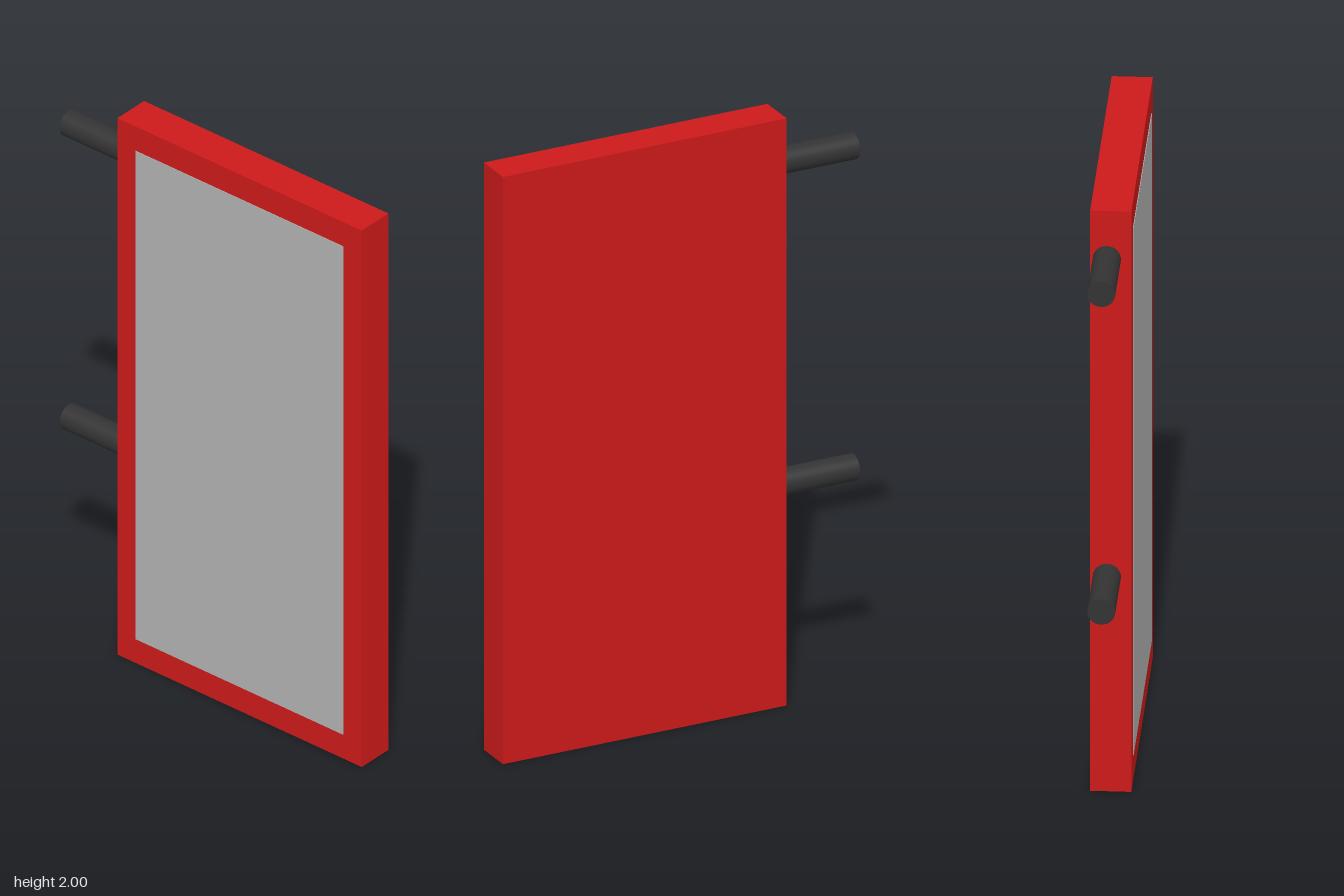
import * as THREE from 'three';

const paint = (color) => new THREE.MeshStandardMaterial({ color });

export function createModel() {
  const group = new THREE.Group();
  const red = paint(0xcc1a1a);
  const grey = paint(0xb3b3b3);
  const dark = paint(0x333333);

  const add = (name, geometry, material, x, y, z) => {
    const mesh = new THREE.Mesh(geometry, material);
    mesh.name = name;
    mesh.position.set(x, y, z);
    group.add(mesh);
    return mesh;
  };

  // Upright slab
  add('body', new THREE.BoxGeometry(0.129, 2, 1), red, -0.001, 1, 0.132);

  // Thin inlaid panel, barely proud of the right-hand face
  add('sidePanel', new THREE.BoxGeometry(0.01, 1.82, 0.85), grey, -0.0625, 1, 0.132);

  // Two pipes out of the back edge
  const pipe = new THREE.CylinderGeometry(0.044, 0.044, 0.264, 32).rotateX(Math.PI / 2);
  [['upperPipe', 1.835], ['lowerPipe', 0.74]].forEach(([name, y]) =>
    add(name, pipe, dark, 0.011, y, -0.5));

  return group;
}
